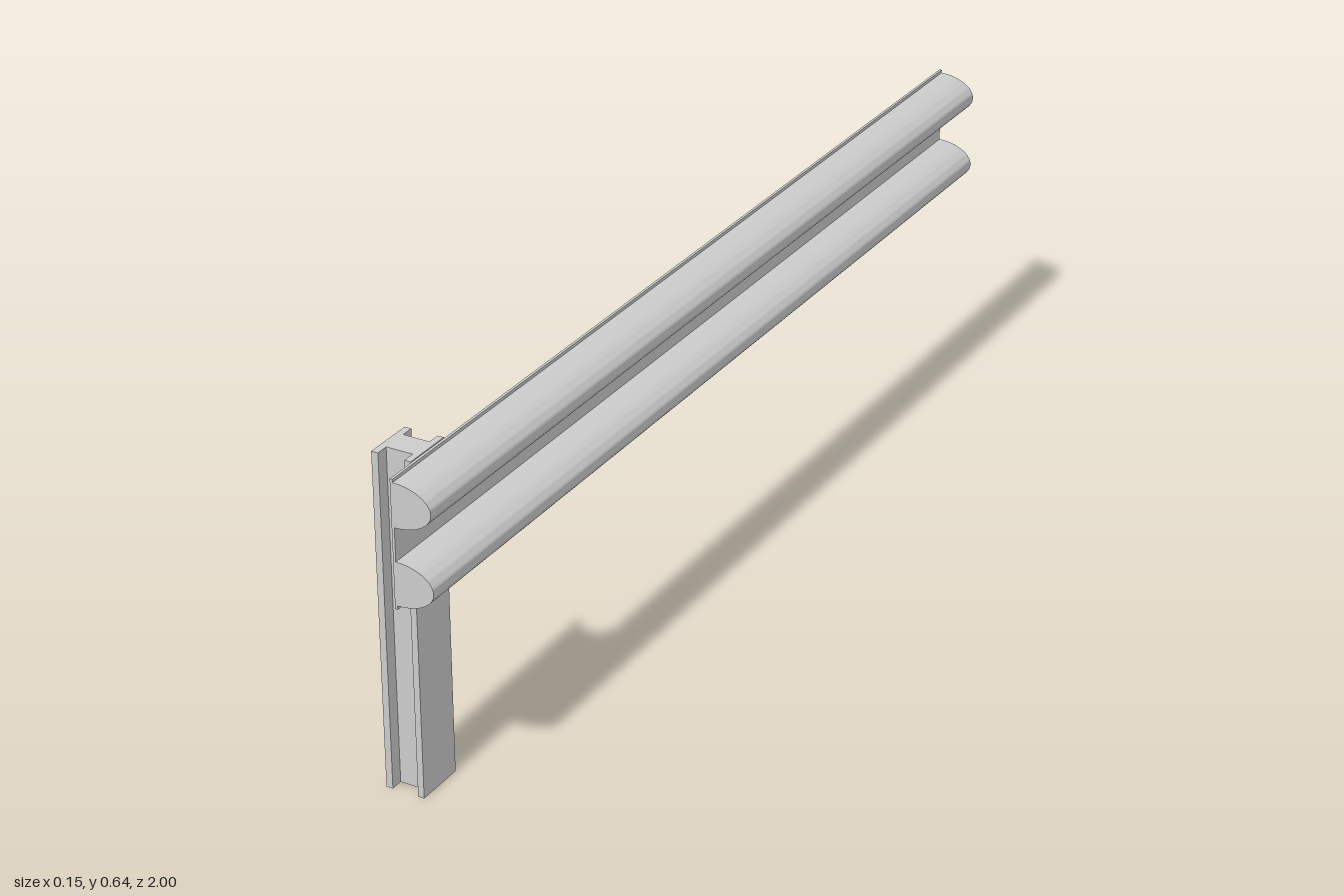
import * as THREE from 'three';
import { toCreasedNormals } from 'three/addons/utils/BufferGeometryUtils.js';

export function createModel() {
  const group = new THREE.Group();
  const material = new THREE.MeshStandardMaterial({ color: 0xcccccc });

  const add = (name, geometry) => {
    const mesh = new THREE.Mesh(geometry, material);
    mesh.name = name;
    group.add(mesh);
    return mesh;
  };

  // Box given by its extents along each axis
  const box = (name, [x0, x1], [y0, y1], [z0, z1]) =>
    add(name, new THREE.BoxGeometry(x1 - x0, y1 - y0, z1 - z0))
      .position.set((x0 + x1) / 2, (y0 + y1) / 2, (z0 + z1) / 2);

  // Upright I-section post near the front end
  const postHeight = [0, 0.642];
  box('postOuterFlange', [-0.076, -0.063], postHeight, [0.841, 0.939]);
  box('postInnerFlange', [-0.012, 0], postHeight, [0.841, 0.939]);
  box('postWeb', [-0.063, -0.012], postHeight, [0.865, 0.915]);

  // Thin backing plate along the full length
  box('backPlate', [0, 0.005], [0.4, 0.64], [-1, 1]);

  // Two half-elliptical rails on the plate
  const profile = new THREE.Shape();
  profile.absellipse(0, 0, 0.071, 0.041, -Math.PI / 2, Math.PI / 2, false, 0);
  profile.closePath();
  const railGeometry = toCreasedNormals(
    new THREE.ExtrudeGeometry(profile, { depth: 2, bevelEnabled: false, curveSegments: 32 }),
    Math.PI / 5
  );
  for (const [name, y] of [['upperRail', 0.593], ['lowerRail', 0.448]]) {
    add(name, railGeometry).position.set(0.005, y, -1);
  }

  return group;
}
